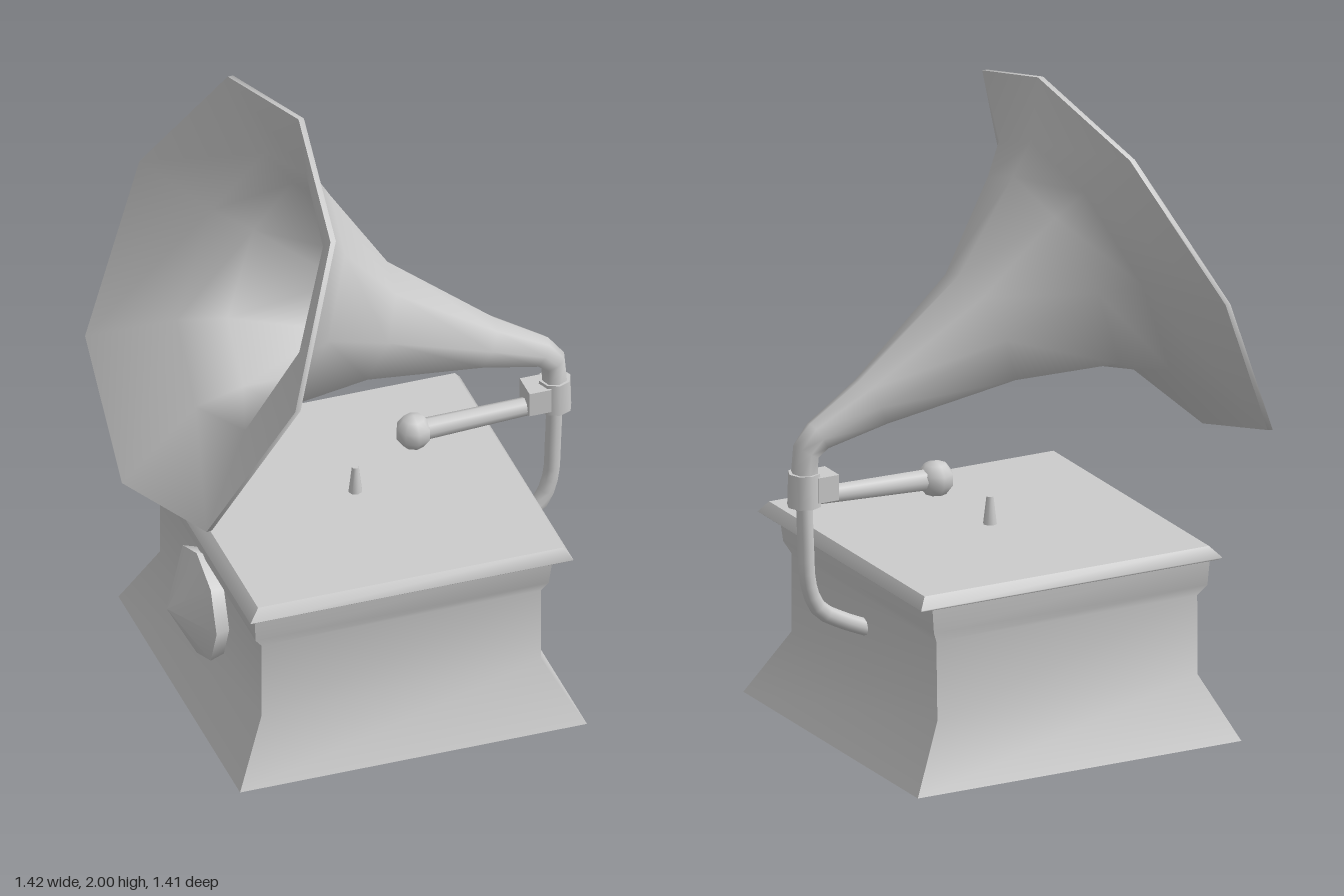
import * as THREE from 'three';

const grey = new THREE.MeshStandardMaterial({ color: 0xcccccc });
grey.name = 'plain grey';

function build(positions, indices) {
  const g = new THREE.BufferGeometry();
  g.setAttribute('position', new THREE.Float32BufferAttribute(positions, 3));
  g.setIndex(indices);
  g.computeVertexNormals();
  return g;
}

// Rectangular loft, sharp at the four corners and smooth up each side.
// Each level is [y, xMin, xMax, zHalf].
function rectLoft(levels) {
  const pos = [], idx = [];
  const corners = ([y, a, b, h]) => [[a, y, h], [b, y, h], [b, y, -h], [a, y, -h]];
  for (let s = 0; s < 4; s++) {
    const base = pos.length / 3;
    levels.forEach((level, i) => {
      const c = corners(level);
      pos.push(...c[s], ...c[(s + 1) % 4]);
      if (i > 0) {
        const o = base + (i - 1) * 2;
        idx.push(o, o + 1, o + 3, o, o + 3, o + 2);
      }
    });
  }
  const top = pos.length / 3;
  corners(levels[levels.length - 1]).forEach((c) => pos.push(...c));
  idx.push(top, top + 1, top + 2, top, top + 2, top + 3);
  corners(levels[0]).forEach((c) => pos.push(...c));
  idx.push(top + 4, top + 6, top + 5, top + 4, top + 7, top + 6);
  return build(pos, idx);
}

// Eight-sided ring factors, starting at the top corner
const UP = [1, 0.78, 0.08, -0.73, -1, -0.73, 0.08, 0.78];
const OUT = [0, 0.66, 1, 0.78, 0, -0.78, -1, -0.66];

// Smooth eight-sided shell; each ring is [topX, topY, bottomX, bottomY, zHalf].
function hornShell(rings, inward) {
  const pos = [], idx = [];
  rings.forEach(([tx, ty, bx, by, w], i) => {
    for (let k = 0; k < 8; k++) {
      pos.push((tx + bx) / 2 + UP[k] * (tx - bx) / 2,
        (ty + by) / 2 + UP[k] * (ty - by) / 2, OUT[k] * w);
      if (i === 0) continue;
      const c = i * 8 + k, d = i * 8 + (k + 1) % 8, a = c - 8, b = d - 8;
      if (inward) idx.push(a, b, c, b, d, c);
      else idx.push(a, c, b, b, c, d);
    }
  });
  return build(pos, idx);
}

export function createModel() {
  const model = new THREE.Group();
  const add = (name, geometry, x = 0, y = 0, z = 0) => {
    const m = new THREE.Mesh(geometry, grey);
    m.name = name;
    m.position.set(x, y, z);
    model.add(m);
    return m;
  };

  // Cabinet and lid
  add('cabinet', rectLoft([
    [0, -0.53, 0.57, 0.55], [0.2, -0.43, 0.455, 0.46], [0.45, -0.43, 0.457, 0.457],
    [0.485, -0.455, 0.475, 0.475], [0.575, -0.46, 0.485, 0.483],
  ]));
  add('lid', rectLoft([
    [0.57, -0.475, 0.53, 0.505], [0.578, -0.485, 0.54, 0.515], [0.613, -0.452, 0.515, 0.49],
  ]));
  add('spindle', new THREE.CylinderGeometry(0.011, 0.022, 0.09, 8), 0.028, 0.655, 0);

  // Eight-sided knob with a conical face on the side
  const knob = add('sideKnob', new THREE.CylinderGeometry(0.18, 0.165, 0.05, 8), -0.45, 0.32, 0);
  knob.rotation.z = Math.PI / 2;
  const cone = add('sideKnobCone', new THREE.ConeGeometry(0.18, 0.095, 8), -0.5225, 0.32, 0);
  cone.rotation.z = Math.PI / 2;

  // Support pipe
  const pipe = new THREE.CatmullRomCurve3([
    [0.44, 0.35], [0.53, 0.39], [0.61, 0.44], [0.645, 0.52], [0.655, 0.66], [0.66, 0.8],
  ].map(([x, y]) => new THREE.Vector3(x, y, 0)));
  add('supportPipe', new THREE.TubeGeometry(pipe, 14, 0.026, 8));

  // Joint, arm and sound head
  add('joint', new THREE.CylinderGeometry(0.05, 0.053, 0.105, 8), 0.66, 0.828, 0);
  add('jointCollar', new THREE.BoxGeometry(0.07, 0.08, 0.09), 0.6, 0.83, 0);
  const arm = add('arm', new THREE.CylinderGeometry(0.028, 0.034, 0.4, 8), 0.43, 0.793, 0);
  arm.rotation.z = -Math.PI / 2 + 0.03;
  arm.scale.y = -1;
  arm.scale.set(1, 1, 1);
  add('soundHead', new THREE.SphereGeometry(0.057, 8, 5), 0.213, 0.787, 0);

  // Horn: outer shell, thin lip and inner shell
  const outer = [
    [0.70, 0.86, 0.62, 0.86, 0.042], [0.69, 0.965, 0.62, 0.925, 0.042],
    [0.64, 1.03, 0.59, 0.945, 0.045], [0.47, 1.14, 0.40, 0.99, 0.075],
    [0.13, 1.42, 0.0, 1.06, 0.18], [-0.05, 1.70, -0.31, 1.06, 0.32],
    [-0.11, 1.80, -0.46, 1.02, 0.41], [-0.135, 2.0, -0.695, 0.81, 0.705],
  ];
  const front = [-0.152, 2.0, -0.712, 0.808, 0.705];
  add('hornOuter', hornShell(outer, false));
  add('hornLip', hornShell([outer[7], front], false));
  const inner = outer.slice(3, 7).map(([a, b, c, d, w]) =>
    [a - 0.018, b - 0.004, c - 0.018, d + 0.012, w - 0.012]);
  add('hornInner', hornShell([...inner, front], true));

  return model;
}
